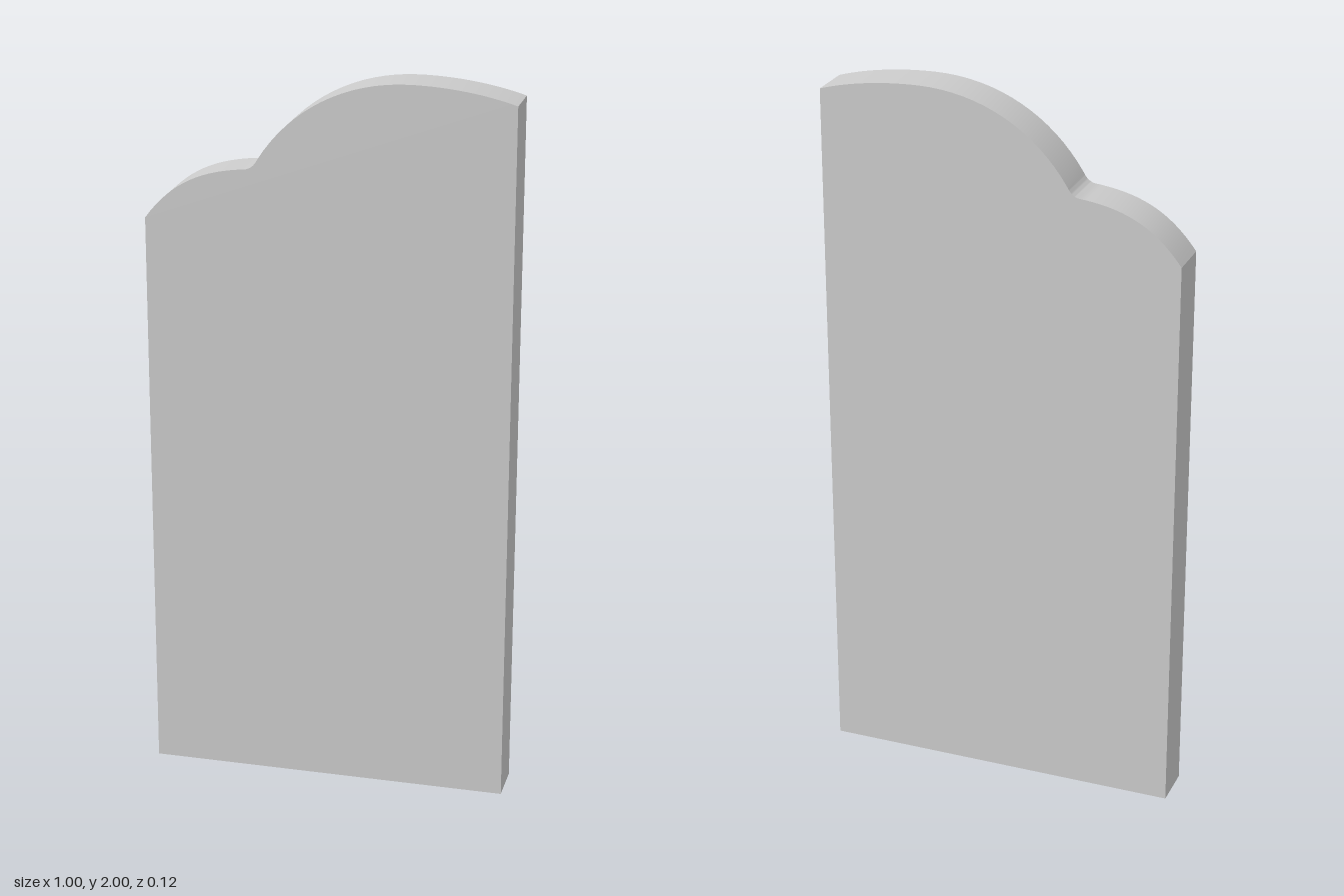
import * as THREE from 'three';
import { toCreasedNormals } from 'three/addons/utils/BufferGeometryUtils.js';

const THICKNESS = 0.124;

export function createModel() {
  const group = new THREE.Group();
  group.name = 'headboardPanel';

  // Panel outline: straight sides and base, two-hump curved top
  const outline = new THREE.Shape();
  outline.moveTo(0.5, 0);
  outline.lineTo(0.5, 1.96);
  outline.bezierCurveTo(0.42, 1.985, 0.32, 2, 0.22, 2); // gentle right shoulder
  outline.bezierCurveTo(0.05, 2, -0.1, 1.92, -0.19, 1.775); // large hump
  outline.quadraticCurveTo(-0.2, 1.755, -0.22, 1.75); // soft notch
  outline.bezierCurveTo(-0.33, 1.74, -0.42, 1.71, -0.5, 1.6); // small hump
  outline.lineTo(-0.5, 0);
  outline.closePath();

  const extruded = new THREE.ExtrudeGeometry(outline, {
    depth: THICKNESS,
    bevelEnabled: false,
    curveSegments: 16,
  });
  extruded.translate(0, 0, -THICKNESS / 2);

  // Smooth along the curved top, sharp at every edge
  const panel = new THREE.Mesh(
    toCreasedNormals(extruded, 0.5),
    new THREE.MeshStandardMaterial({ color: 0xcccccc })
  );
  panel.name = 'panel';
  group.add(panel);
  return group;
}
